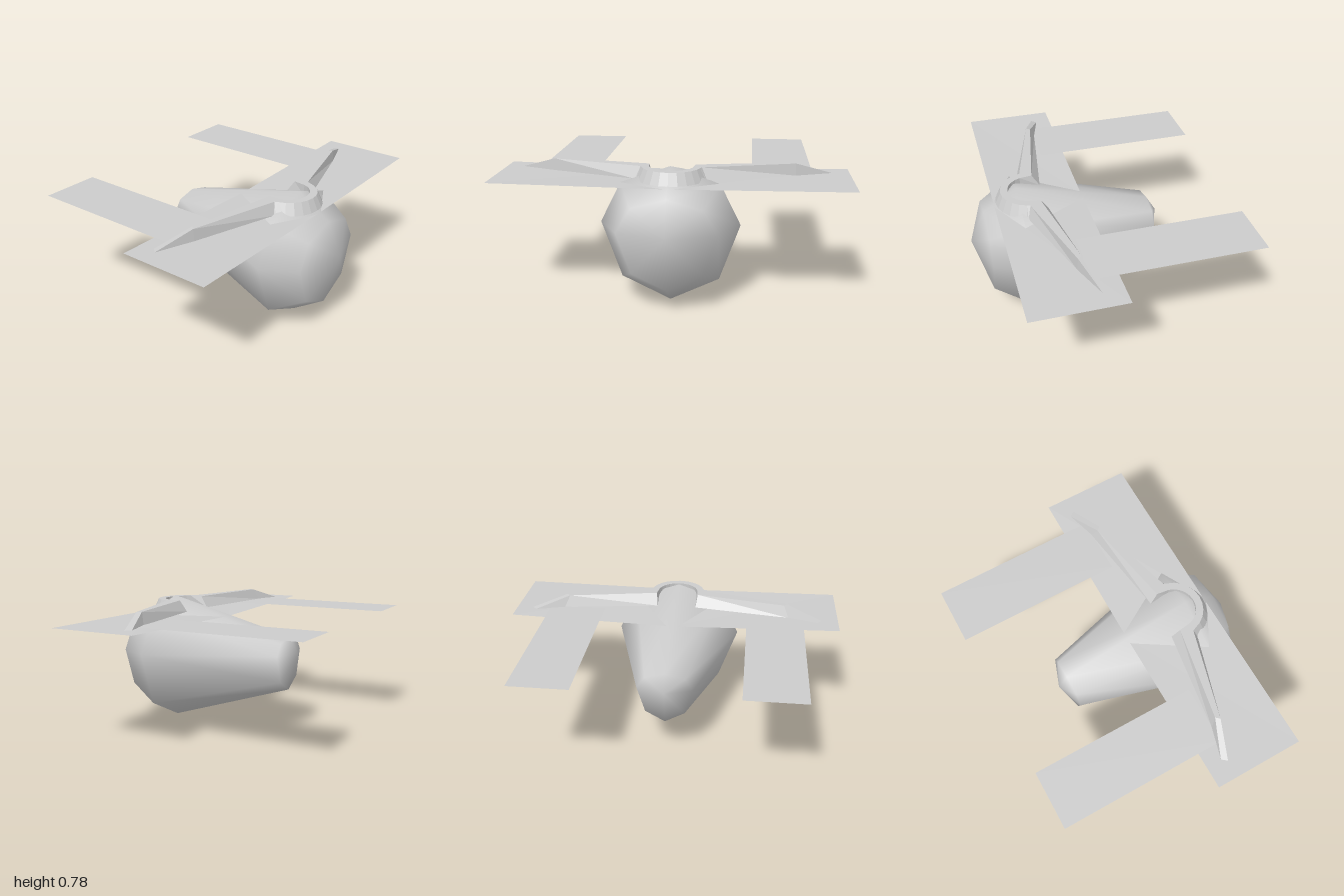
import * as THREE from 'three';

const material = (extra = {}) => new THREE.MeshStandardMaterial({ color: 0xcccccc, ...extra });

// Skin a list of equal-length closed cross-sections
function loft(sections, wrap = true) {
  const n = sections[0].length;
  const index = [];
  for (let i = 0; i < sections.length - 1; i++) {
    for (let j = 0; j < (wrap ? n : n - 1); j++) {
      const a = i * n + j, b = i * n + (j + 1) % n;
      index.push(a, b, b + n, a, b + n, a + n);
    }
  }
  const geometry = new THREE.BufferGeometry();
  geometry.setAttribute('position', new THREE.Float32BufferAttribute(sections.flat(2), 3));
  geometry.setIndex(index);
  return geometry;
}

function part(group, name, geometry, mat) {
  geometry.computeVertexNormals();
  const mesh = new THREE.Mesh(geometry, mat);
  mesh.name = name;
  group.add(mesh);
}

// Faceted pod: eight-sided rings with a shallow top and a deep belly, closed by two tips
function podGeometry() {
  const rings = [ // z, centre y, half width, height above, depth below
    [0.66, 0.46, 0.276, 0.195, 0.325],
    [0.46, 0.46, 0.39, 0.325, 0.457],
    [-0.335, 0.48, 0.165, 0.1, 0.225],
  ].map(([z, y, w, up, down]) => Array.from({ length: 8 }, (_, k) => {
    const a = k * Math.PI / 4, c = Math.cos(a);
    return [w * Math.sin(a), y + c * (c > 0 ? up : down), z];
  }));
  const geometry = loft(rings);
  const points = [...rings.flat(), [0, 0.46, 0.75], [0, 0.48, -0.395]];
  const index = Array.from(geometry.index.array);
  for (let k = 0; k < 8; k++) {
    const next = (k + 1) % 8;
    index.push(24, next, k, 25, 16 + k, 16 + next);
  }
  geometry.setAttribute('position', new THREE.Float32BufferAttribute(points.flat(), 3));
  geometry.setIndex(index);
  return geometry;
}

// Raised fairing: two swept arms joined by a collar open at the back
function fairingGeometry() {
  const low = 0.702, high = 0.77;
  // corners: front base, front top, back top, back base
  const arm = [
    [[0.9, low, 0.195], [0.9, low, 0.195], [0.875, low, 0.165], [0.875, low, 0.165]],
    [[0.69, low, 0.275], [0.69, high, 0.268], [0.67, high, 0.245], [0.7, low, 0.215]],
    [[0.2, low, 0.43], [0.17, high, 0.41], [0.13, high, 0.345], [0.12, low, 0.3]],
  ];
  const collar = [];
  for (let k = 0; k <= 10; k++) {
    const a = THREE.MathUtils.degToRad(75 - k * 15);
    const at = (r, y) => [r * Math.sin(a), y, 0.385 + r * Math.cos(a)];
    collar.push([at(0.2, low), at(0.168, high), at(0.125, high), at(0.125, low)]);
  }
  const mirrored = arm.map(s => s.map(([x, y, z]) => [-x, y, z])).reverse();
  return loft([...arm, ...collar, ...mirrored]);
}

export function createModel() {
  const group = new THREE.Group();
  group.name = 'podCraft';
  const thin = material({ side: THREE.DoubleSide, flatShading: true });

  part(group, 'pod', podGeometry(), material());

  // Thin wing plate, dipping slightly toward the middle
  const plate = [-1, 0, 1].map(x => [
    [x, x ? 0.7 : 0.675, 0.075],
    [x, x ? 0.7 : 0.69, 0.595],
  ]);
  part(group, 'wingPlate', loft(plate.reverse(), false), thin);

  part(group, 'wingFairing', fairingGeometry(), thin);

  // Flat panels trailing behind the wing
  for (const side of [1, -1]) {
    const panel = new THREE.PlaneGeometry(0.342, 0.975);
    panel.rotateX(-Math.PI / 2).translate(side * 0.617, 0.703, -0.2675);
    part(group, side > 0 ? 'leftRearPanel' : 'rightRearPanel', panel, thin);
  }
  return group;
}
